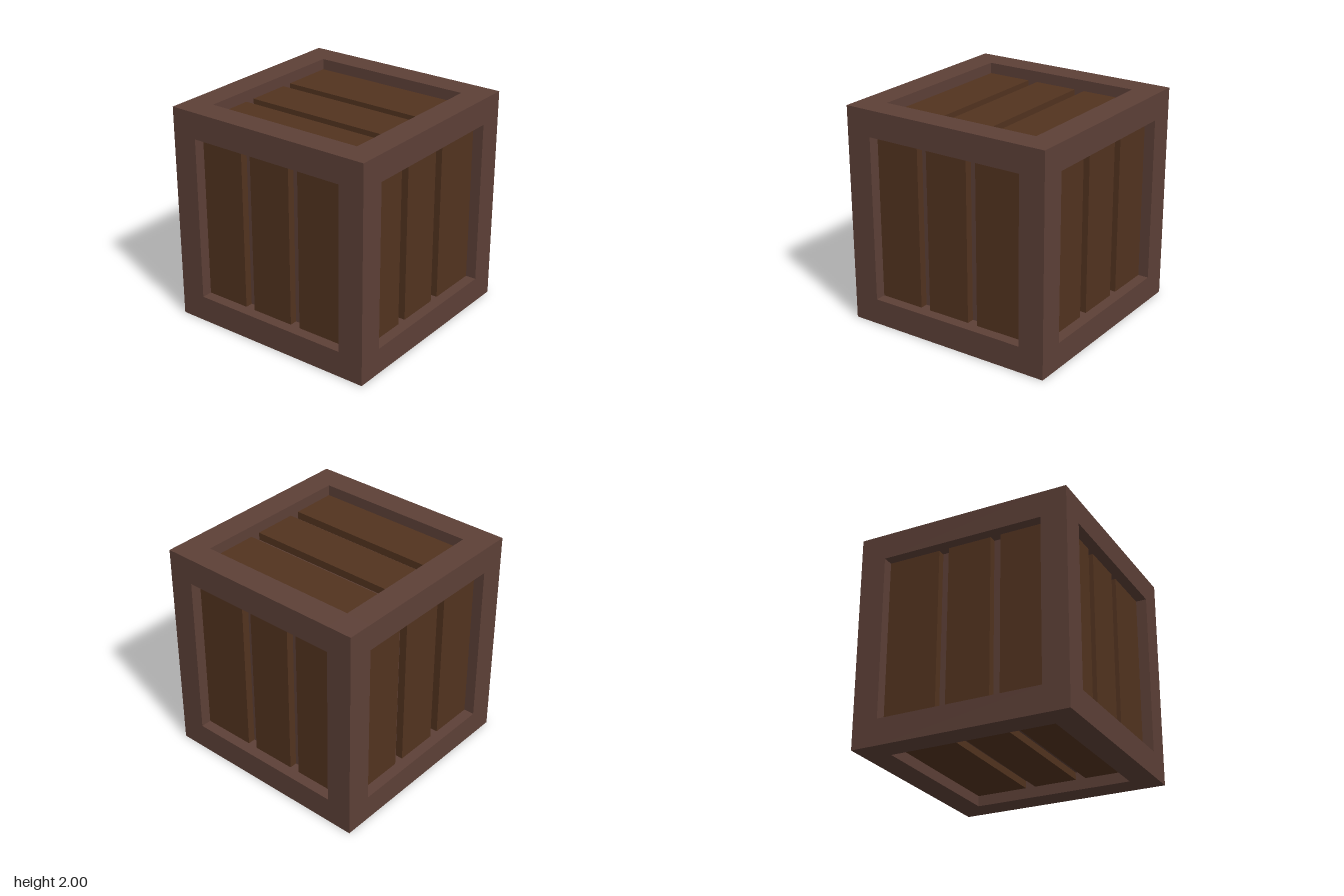
import * as THREE from 'three';

const HALF = 1;          // half size of the crate
const BEAM = 0.24;       // frame beam thickness
const INNER = HALF - BEAM;
const CORE = 0.83;       // half size of the backing box
const FACE = 0.9;        // plank surface distance from the centre

export function createModel() {
  const crate = new THREE.Group();
  crate.name = 'crate';
  const frameMat = new THREE.MeshStandardMaterial({ color: 0x5d4037, flatShading: true });
  const plankMat = new THREE.MeshStandardMaterial({ color: 0x52331f, flatShading: true });

  // Box between two corners
  const box = (name, min, max, mat, parent) => {
    const size = max.map((v, i) => v - min[i]);
    const mesh = new THREE.Mesh(new THREE.BoxGeometry(...size), mat);
    mesh.position.set(...max.map((v, i) => (v + min[i]) / 2));
    mesh.name = name;
    parent.add(mesh);
  };
  const group = (name) => {
    const g = new THREE.Group();
    g.name = name;
    crate.add(g);
    return g;
  };

  // Frame: full-height corner posts with rails fitted between them
  const frame = group('frame');
  const span = (s) => (s < 0 ? [-HALF, -INNER] : [INNER, HALF]);
  for (const a of [-1, 1]) {
    for (const b of [-1, 1]) {
      const [a0, a1] = span(a), [b0, b1] = span(b);
      box('cornerPost', [a0, -HALF, b0], [a1, HALF, b1], frameMat, frame);
      box('sideToSideRail', [-INNER, a0, b0], [INNER, a1, b1], frameMat, frame);
      box('frontToBackRail', [a0, b0, -INNER], [a1, b1, INNER], frameMat, frame);
    }
  }

  // Backing box seen in the gaps between planks
  box('backing', [-CORE, -CORE, -CORE], [CORE, CORE, CORE], frameMat, crate);

  // Three planks per face; the gaps are slightly off centre
  const xPlanks = [[-INNER, -0.335], [-0.24, 0.17], [0.265, INNER]];
  const zPlanks = xPlanks.map(([lo, hi]) => [-hi, -lo]);
  const faces = [
    ['front', 2, 1], ['back', 2, -1], ['left', 0, 1],
    ['right', 0, -1], ['top', 1, 1], ['bottom', 1, -1],
  ];
  for (const [name, axis, sign] of faces) {
    const panel = group(name + 'Planks');
    const across = axis === 2 ? 0 : 2;
    for (const [lo, hi] of axis === 2 ? xPlanks : zPlanks) {
      const min = [-INNER, -INNER, -INNER], max = [INNER, INNER, INNER];
      min[axis] = sign > 0 ? CORE : -FACE;
      max[axis] = sign > 0 ? FACE : -CORE;
      min[across] = lo;
      max[across] = hi;
      box('plank', min, max, plankMat, panel);
    }
  }

  // Stand the crate on the ground
  for (const child of crate.children) child.position.y += HALF;
  return crate;
}
